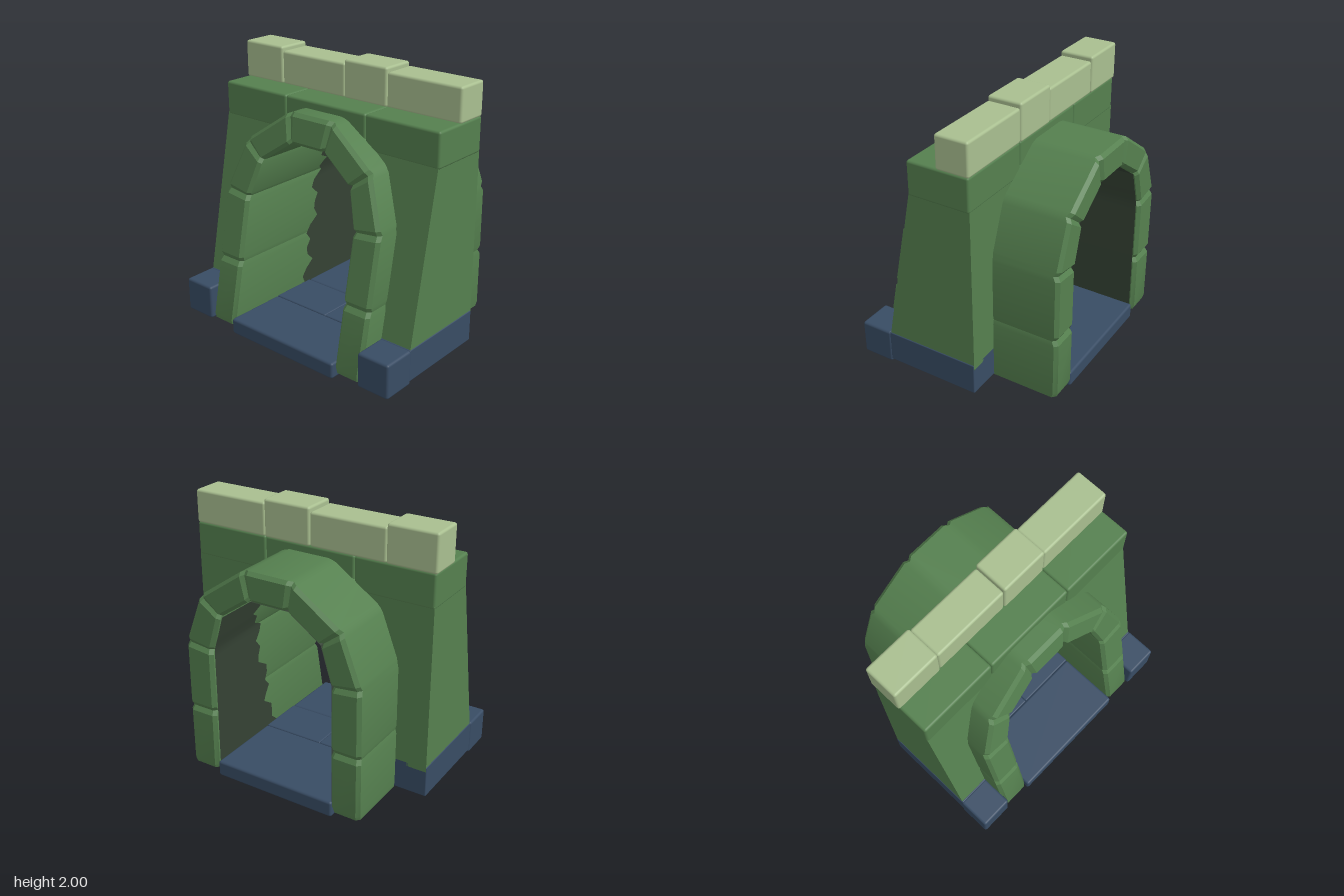
import * as THREE from 'three';
import { toCreasedNormals } from 'three/addons/utils/BufferGeometryUtils.js';
import { RoundedBoxGeometry } from 'three/addons/geometries/RoundedBoxGeometry.js';

function material(name, color) {
  const m = new THREE.MeshStandardMaterial({ color });
  m.name = name;
  return m;
}

const BACK = -0.73;
const archFront = y => 0.73 - 0.205 * y; // leaning front of the arch
const wallFront = y => 0.54 - 0.203 * y; // leaning front of the side walls

// Joints of the arch, right leg to crown: inner x, y, outer x, y
const HALF = [
  [0.485, 0.055, 0.71, 0.055],
  [0.482, 0.53, 0.71, 0.53],
  [0.482, 1.015, 0.708, 1.04],
  [0.4, 1.29, 0.565, 1.415],
  [0.15, 1.463, 0.19, 1.675],
];
const JOINTS = [...HALF, ...HALF.slice().reverse().map(([a, b, c, d]) => [-a, b, -c, d])];
const mix = (a, b, t) => a.map((v, i) => v + (b[i] - v) * t);

// Bevelled ring of stones with a small notch at every joint
function archGeometry() {
  const stations = [];
  JOINTS.forEach((j, i) => {
    const inside = i > 0 && i < JOINTS.length - 1;
    const near = k => {
      const o = JOINTS[k];
      return mix(j, o, 0.035 / Math.hypot(o[2] - j[2], o[3] - j[3]));
    };
    if (i > 0) stations.push([near(i - 1), 0]);
    stations.push([j, inside ? 0.02 : 0.012]);
    if (i < JOINTS.length - 1) stations.push([near(i + 1), 0]);
  });
  const b = 0.025;
  const rings = stations.map(([[ix, iy, ox, oy], notch]) => {
    const w = Math.hypot(ox - ix, oy - iy);
    const e = notch * 0.4;
    const point = (t, front, inset) => {
      const x = ix + (ox - ix) * t / w, y = iy + (oy - iy) * t / w;
      return [x, y, front ? archFront(y) - inset - notch : BACK + inset + notch];
    };
    return [
      point(e, false, b), point(e, true, b), point(b + e, true, 0), point(w - b - e, true, 0),
      point(w - e, true, b), point(w - e, false, b), point(w - b - e, false, 0), point(b + e, false, 0),
    ];
  });
  const pos = [];
  const tri = (...p) => p.forEach(v => pos.push(...v));
  for (let i = 0; i < rings.length - 1; i++) {
    for (let j = 0; j < 8; j++) {
      const k = (j + 1) % 8, r = rings[i], s = rings[i + 1];
      tri(r[j], r[k], s[k]);
      tri(r[j], s[k], s[j]);
    }
  }
  const first = rings[0], last = rings[rings.length - 1];
  for (let j = 1; j < 7; j++) {
    tri(first[0], first[j + 1], first[j]);
    tri(last[0], last[j], last[j + 1]);
  }
  const g = new THREE.BufferGeometry();
  g.setAttribute('position', new THREE.Float32BufferAttribute(pos, 3));
  return toCreasedNormals(g, 0.35);
}

// Dark ragged lining on the rear part of the passage
function liningGeometry() {
  const pos = [], index = [];
  const steps = 8;
  for (let i = 0; i < JOINTS.length - 1; i++) {
    for (let s = 0; s <= steps; s++) {
      const [x, y] = mix(JOINTS[i], JOINTS[i + 1], s / steps);
      const n = i * steps + s;
      const z = -0.02 - 0.2 * y + 0.035 * Math.sin(n * 2.1) + 0.03 * Math.sin(n * 0.9);
      const px = x * 0.987, py = y - 0.006 * (y > 1.1 ? 1 : 0);
      pos.push(px, py, z, px, py, -0.7);
      if (s < steps) {
        const a = pos.length / 3 - 2;
        index.push(a, a + 2, a + 1, a + 1, a + 2, a + 3);
      }
    }
  }
  const g = new THREE.BufferGeometry();
  g.setAttribute('position', new THREE.Float32BufferAttribute(pos, 3));
  g.setIndex(index);
  return toCreasedNormals(g, 0.35);
}

// Side wall that hugs the arch and leans back towards the top
function wallGeometry(side) {
  const outline = [[0.95, 0.26], [0.95, 1.5], [0.4, 1.5], [0.54, 1.22], [0.6, 0.9], [0.6, 0.26]];
  const shape = new THREE.Shape(outline.map(([x, y]) => new THREE.Vector2(x * side, y)));
  const g = new THREE.ExtrudeGeometry(shape, { depth: 1, bevelEnabled: false });
  const p = g.attributes.position;
  for (let i = 0; i < p.count; i++) p.setZ(i, p.getZ(i) > 0.5 ? wallFront(p.getY(i)) : -0.23);
  g.computeVertexNormals();
  return g;
}

export function createModel() {
  const model = new THREE.Group();
  model.name = 'stoneGateway';
  const green = material('mossGreenStone', 0x55804f);
  const pale = material('paleGreenStone', 0xa9bf90);
  const blue = material('slateBlueStone', 0x384c64);
  const dark = material('darkLining', 0x354234);
  dark.side = THREE.DoubleSide;

  const add = (name, geometry, mat) => {
    const mesh = new THREE.Mesh(geometry, mat);
    mesh.name = name;
    model.add(mesh);
    return mesh;
  };
  // Bevelled block given by its extents
  const block = (name, mat, [x0, x1], [y0, y1], [z0, z1], r = 0.018) => {
    const g = new RoundedBoxGeometry(x1 - x0, y1 - y0, z1 - z0, 2, r);
    add(name, g, mat).position.set((x0 + x1) / 2, (y0 + y1) / 2, (z0 + z1) / 2);
  };

  add('arch', archGeometry(), green);
  add('passageLining', liningGeometry(), dark);

  // Side walls and their footings
  for (const side of [1, -1]) {
    const label = side > 0 ? 'left' : 'right';
    const span = (a, b) => (side > 0 ? [a, b] : [-b, -a]);
    add(label + 'Wall', wallGeometry(side), green);
    block(label + 'Footing', blue, span(0.66, 0.955), [0.06, 0.297], [-0.23, 0.49], 0.008);
    block(label + 'CornerStone', blue, span(0.705, 0.96), [0.04, 0.297], [0.48, 0.73]);
  }

  // Lintel stones
  const lintel = [-0.953, -0.355, 0.36, 0.957];
  for (let i = 0; i < 3; i++) {
    block('lintelStone' + (i + 1), green, [lintel[i], lintel[i + 1]], [1.48, 1.732], [-0.232, 0.24]);
  }

  // Coping stones of alternating height
  const coping = [-0.962, -0.594, -0.008, 0.361, 0.957];
  for (let i = 0; i < 4; i++) {
    block('copingStone' + (i + 1), pale, [coping[i], coping[i + 1]],
      [1.725, i % 2 ? 1.97 : 2], i % 2 ? [-0.235, 0.015] : [-0.24, 0.02]);
  }

  // Floor slabs
  block('frontSlab', blue, [-0.485, 0.485], [0, 0.12], [0.25, 0.73]);
  block('middleSlabRight', blue, [-0.485, 0], [0, 0.12], [-0.11, 0.25], 0.01);
  block('middleSlabLeft', blue, [0, 0.485], [0, 0.12], [-0.11, 0.25], 0.01);
  block('backSlab', blue, [-0.485, 0.485], [0, 0.12], [-0.72, -0.11]);

  return model;
}
